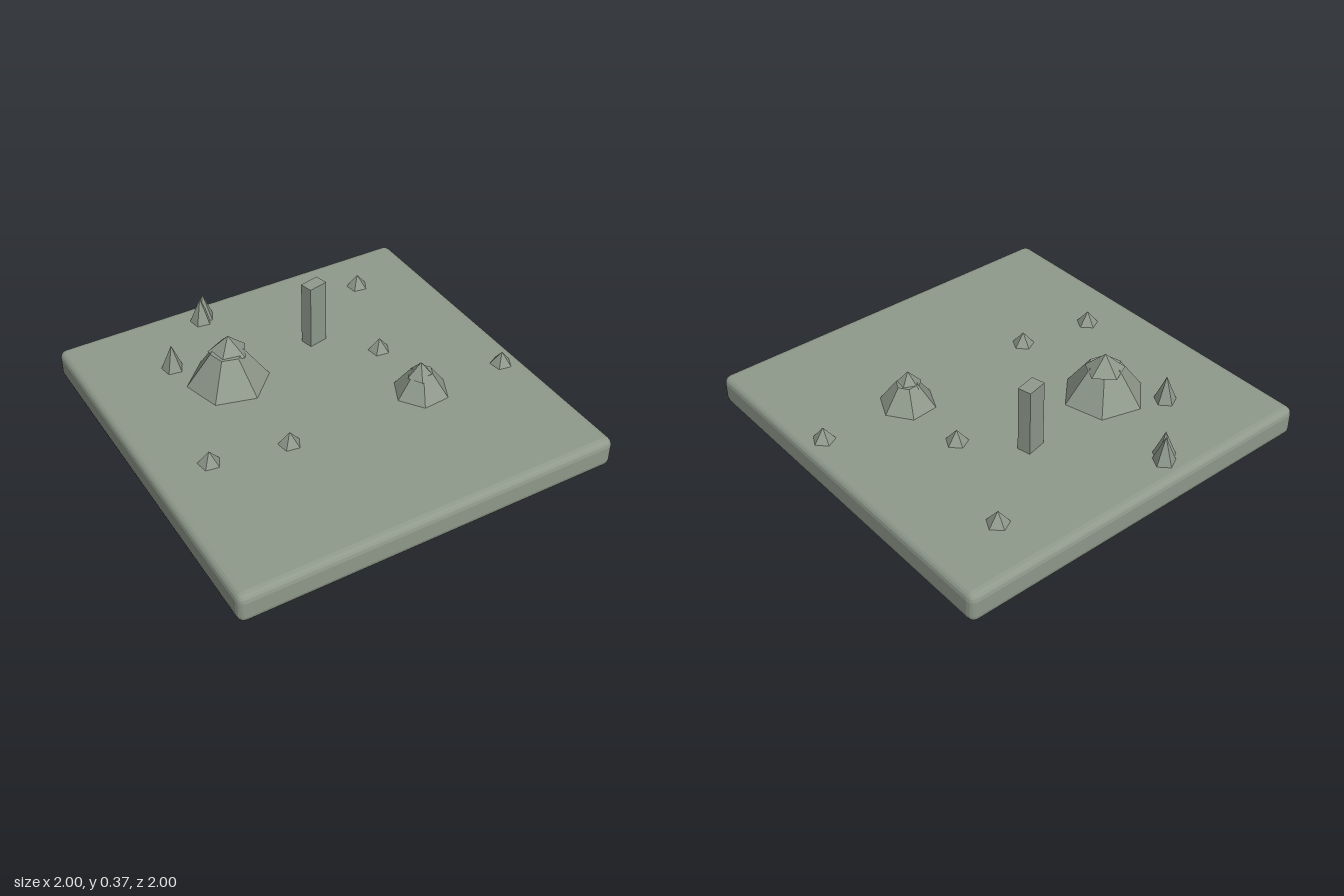
import * as THREE from 'three';
import { RoundedBoxGeometry } from 'three/addons/geometries/RoundedBoxGeometry.js';

const TOP = 0.115; // height of the slab's upper face

export function createModel() {
  const group = new THREE.Group();
  const stone = new THREE.MeshStandardMaterial({ color: 0x8f998b, flatShading: true });
  stone.name = 'greyGreenStone';

  function add(name, geometry, x, y, z, turn = 0) {
    const mesh = new THREE.Mesh(geometry, stone);
    mesh.name = name;
    mesh.position.set(x, y, z);
    mesh.rotation.y = turn;
    group.add(mesh);
    return mesh;
  }

  // faceted cone or frustum standing on height y
  function peak(name, x, z, y, rTop, rBase, height, sides, turn = 0) {
    add(name, new THREE.CylinderGeometry(rTop, rBase, height, sides), x, y + height / 2, z, turn);
  }

  // diamond-set ground slab with softened edges
  const r = 0.028;
  const side = 2 * (r + (1 - r) / Math.SQRT2);
  add('groundSlab', new RoundedBoxGeometry(side, TOP, side, 2, r), 0, TOP / 2, 0, Math.PI / 4);

  // large hill with an overhanging cap
  peak('largeHill', -0.35, 0.015, TOP, 0.06, 0.15, 0.125, 6);
  peak('largeHillCap', -0.35, 0.0, 0.232, 0, 0.073, 0.065, 5);

  // smaller hill with its cap
  peak('smallHill', 0.325, -0.098, TOP, 0.04, 0.102, 0.085, 6, 0.35);
  peak('smallHillCap', 0.322, -0.09, 0.188, 0, 0.05, 0.055, 5, 0.35);

  // rectangular standing pillar
  add('pillar', new THREE.BoxGeometry(0.05, 0.25, 0.076), -0.117, TOP + 0.125, -0.294, -0.56);

  // scattered low cones
  for (const [x, z] of [[-0.045, -0.68], [0.13, -0.295], [0.575, -0.325], [-0.045, 0.295], [-0.275, 0.455]]) {
    peak('lowCone', x, z, TOP, 0, 0.041, 0.05, 5);
  }

  // tall cones, two of them grown together
  for (const [x, z] of [[-0.565, 0], [-0.56, -0.333], [-0.56, -0.303]]) {
    peak('tallCone', x, z, TOP, 0, 0.041, 0.1, 5);
  }
  return group;
}
